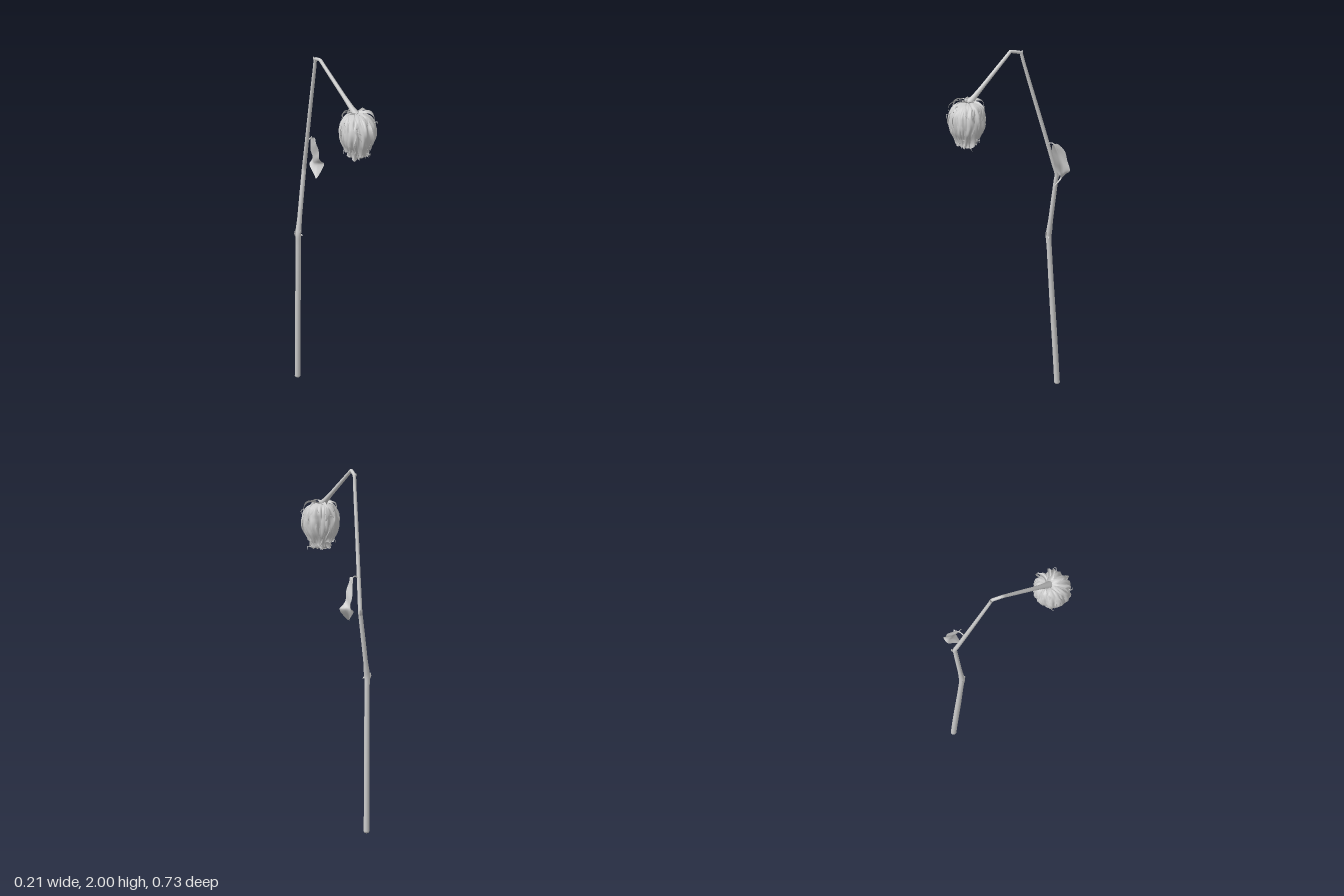
import * as THREE from 'three';

const V = (x, y, z) => new THREE.Vector3(x, y, z);
const mat = new THREE.MeshStandardMaterial({ color: 0xcccccc, side: THREE.DoubleSide });

// seeded noise so every petal differs
let seed = 7;
const rnd = (a = 0, b = 1) => {
  seed = (seed * 16807) % 2147483647;
  return a + (b - a) * (seed / 2147483647);
};

function add(group, name, geometry) {
  const mesh = new THREE.Mesh(geometry, mat);
  mesh.name = name;
  group.add(mesh);
  return mesh;
}

// smooth sheet from a rule (u, v in 0..1) -> point
function sheet(rule, nu, nv) {
  const g = new THREE.PlaneGeometry(1, 1, nu, nv);
  const p = g.attributes.position;
  for (let j = 0, k = 0; j <= nv; j++)
    for (let i = 0; i <= nu; i++, k++) {
      const q = rule(i / nu, j / nv);
      p.setXYZ(k, q.x, q.y, q.z);
    }
  g.computeVertexNormals();
  return g;
}

// linear lookup in [position, value] pairs
function ramp(table, t) {
  for (let i = 1; i < table.length; i++) {
    const [a, va] = table[i - 1], [b, vb] = table[i];
    if (t <= b) return va + (vb - va) * Math.max(0, (t - a) / (b - a));
  }
  return table[table.length - 1][1];
}

// tube whose radius follows a ramp along its length
function taperedTube(points, radii, segments, sides, ridge = 0) {
  const curve = new THREE.CatmullRomCurve3(points, false, 'centripetal');
  const g = new THREE.TubeGeometry(curve, segments, 1, sides);
  const p = g.attributes.position, v = V();
  for (let i = 0, k = 0; i <= segments; i++) {
    const c = curve.getPointAt(i / segments);
    const r = ramp(radii, i / segments);
    for (let j = 0; j <= sides; j++, k++) {
      const bump = 1 + ridge * Math.sin((j % sides) * 2.4 + i * 0.13);
      v.fromBufferAttribute(p, k).sub(c).multiplyScalar(r * bump).add(c);
      p.setXYZ(k, v.x, v.y, v.z);
    }
  }
  return g;
}

function makeStem() {
  const group = new THREE.Group();
  group.name = 'stem';
  const knots = [V(-0.05, 0.012, -0.34), V(-0.07, 0.87, -0.297), V(-0.02, 1.24, -0.322),
    V(-0.062, 1.975, -0.118), V(-0.067, 1.99, -0.058), V(-0.006, 1.755, 0.236)];
  // extra points beside each knot keep the bends tight
  const path = [knots[0]];
  for (let i = 1; i < knots.length; i++) {
    const a = knots[i - 1], b = knots[i];
    path.push(a.clone().lerp(b, 0.08), a.clone().lerp(b, 0.5), a.clone().lerp(b, 0.92), b);
  }
  add(group, 'stalk', taperedTube(path, [[0, 0.016], [0.33, 0.0145], [0.36, 0.017], [0.39, 0.013],
    [0.51, 0.012], [0.8, 0.0095], [0.85, 0.0095], [0.95, 0.012], [0.98, 0.015], [1, 0.023]], 180, 12, 0.04));
  const foot = add(group, 'stalkFoot', new THREE.SphereGeometry(0.016, 12, 8));
  foot.position.set(-0.05, 0.012, -0.34);
  foot.scale.y = 0.75;

  // dried buds and stubs at the joints
  const stubs = [
    [[-0.07, 0.85, -0.297], [-0.085, 0.87, -0.3], [-0.088, 0.895, -0.302]],
    [[-0.07, 0.86, -0.297], [-0.055, 0.865, -0.29], [-0.047, 0.86, -0.286]],
    [[-0.068, 0.86, -0.297], [-0.066, 0.885, -0.283], [-0.064, 0.9, -0.278]],
    [[-0.022, 1.22, -0.322], [-0.016, 1.24, -0.336], [-0.012, 1.255, -0.341]],
    [[-0.062, 1.965, -0.12], [-0.066, 1.975, -0.128], [-0.068, 1.984, -0.132]],
  ];
  for (const s of stubs)
    add(group, 'stub', taperedTube(s.map(q => V(...q)), [[0, 0.009], [0.7, 0.006], [1, 0.0005]], 8, 7));
  return group;
}

function makeLeaf() {
  const group = new THREE.Group();
  group.name = 'leaf';
  add(group, 'leafStalk', taperedTube([V(-0.034, 1.405, -0.276), V(-0.018, 1.43, -0.272),
    V(0.003, 1.435, -0.284), V(0.015, 1.425, -0.292), V(0.022, 1.385, -0.307)],
  [[0, 0.006], [0.2, 0.004], [1, 0.002]], 24, 7));
  // back edge, midrib and front edge of the drooping, twisted blade
  const lines = [
    [[0.012, 1.432, -0.293], [0.02, 1.435, -0.302], [0.03, 1.395, -0.34], [0.044, 1.33, -0.356],
      [0.054, 1.275, -0.362], [0.03, 1.247, -0.345], [0.028, 1.19, -0.276]],
    [[0.012, 1.43, -0.29], [0.015, 1.42, -0.29], [0.022, 1.37, -0.31], [0.034, 1.32, -0.32],
      [0.04, 1.275, -0.322], [0.048, 1.25, -0.31], [0.03, 1.19, -0.274]],
    [[0.012, 1.432, -0.287], [0.02, 1.432, -0.272], [0.033, 1.385, -0.267], [0.046, 1.33, -0.27],
      [0.06, 1.285, -0.28], [0.094, 1.258, -0.291], [0.032, 1.192, -0.272]],
  ].map(l => new THREE.CatmullRomCurve3(l.map(q => V(...q)), false, 'centripetal'));
  add(group, 'leafBlade', sheet((u, v) => {
    const [a, m, b] = lines.map(l => l.getPoint(v));
    const q = u < 0.5 ? a.lerp(m, u * 2) : m.lerp(b, u * 2 - 1);
    q.x += 0.003 * Math.sin(v * 22 + u * 5) * Math.abs(u - 0.5) * 2;
    return q;
  }, 8, 36));
  return group;
}

// bloom outline from the stalk down to the flared mouth: [t, radius] and [t, height]
const outline = [[0, 0.012], [0.08, 0.045], [0.17, 0.072], [0.28, 0.09], [0.42, 0.098], [0.54, 0.096],
  [0.66, 0.086], [0.78, 0.067], [0.9, 0.05], [1, 0.052]];
const heights = [[0, 1.762], [0.08, 1.757], [0.17, 1.742], [0.42, 1.668], [1, 1.498]];
const smooth = (table, t) => (ramp(table, t - 0.03) + ramp(table, t) + ramp(table, t + 0.03)) / 3;
const around = (angle, r, y, t) =>
  V(-0.003 + r * Math.sin(angle), y, 0.254 - 0.018 * Math.max(0, 1 - t * 3) + r * Math.cos(angle));

function makePetal(angle, half, scale, reach) {
  const ph = rnd(0, 6), ph2 = rnd(0, 6), curl = rnd(0.004, 0.012), skew = rnd(-0.2, 0.2);
  return sheet((u, v) => {
    const s = u * 2 - 1;
    const t = v * (reach - 0.05 * Math.abs(Math.sin(s * 4 + ph)) * v);
    const grow = Math.sin(Math.min(1, v * 3) * Math.PI / 2);
    const width = half * (1 + 0.12 * Math.sin(v * 11 + ph2) * Math.sign(s));
    // crumpled folds, lapped sides and rolled edges
    let r = smooth(outline, t) * scale;
    r += grow * (0.0045 * Math.sin(s * 6 + v * 3 + ph) + 0.0025 * Math.sin(s * 11 - v * 9 + ph2));
    r += grow * (0.005 * s + curl * Math.pow(Math.abs(s), 6) * Math.sin(v * 7 + ph));
    r += 0.012 * Math.pow(v, 10) * Math.sin(s * 5 + ph2);
    return around(angle + s * width + skew * v, Math.max(r, 0.008), smooth(heights, t), t);
  }, 20, 30);
}

function makeBloom() {
  const group = new THREE.Group();
  group.name = 'bloom';
  // closed heart behind the petals
  const heart = [];
  for (let i = 0; i <= 20; i++) {
    const t = 0.94 * (1 - i / 20);
    heart.push(new THREE.Vector2(smooth(outline, t) * 0.84, smooth(heights, t) - 0.004));
  }
  heart.unshift(new THREE.Vector2(0, 1.545));
  add(group, 'heart', new THREE.LatheGeometry(heart, 28)).position.set(-0.003, 0, 0.25);

  // rings of overlapping withered petals: count, half width, size, reach
  const rings = [[5, 0.85, 0.9, 1], [6, 0.68, 0.97, 0.98], [6, 0.52, 1.03, 0.9]];
  rings.forEach(([n, half, scale, reach], k) => {
    for (let i = 0; i < n; i++)
      add(group, 'petal', makePetal((i + k * 0.45) * 2 * Math.PI / n, half, scale, reach + rnd(-0.08, 0.02)));
  });

  // shrivelled sepals curling off the crown
  for (let i = 0; i < 9; i++) {
    const a = i * 2 * Math.PI / 9 + rnd(-0.2, 0.2), far = rnd(0.085, 0.105), drop = rnd(0, 0.05);
    const spine = new THREE.CatmullRomCurve3([
      around(a, 0.015, 1.758, 0), around(a, 0.045, 1.768, 0.1), around(a + 0.1, 0.075, 1.762, 0.2),
      around(a + 0.2, far, 1.742, 0.3), around(a + 0.15, far + 0.004, 1.725 - drop, 0.35),
      around(a + 0.05, far - 0.01, 1.712 - drop, 0.35)]);
    const side = V(Math.cos(a), 0.3, -Math.sin(a));
    add(group, 'sepal', sheet((u, v) => {
      const w = 0.011 * (1 - 0.75 * v) * (1 + 0.3 * Math.sin(v * 14 + i));
      const q = spine.getPoint(v).addScaledVector(side, (u * 2 - 1) * w);
      q.y += 0.005 * Math.pow(u * 2 - 1, 2);
      return q;
    }, 4, 20));
  }

  // stray threads and torn petal tips
  for (let i = 0; i < 12; i++) {
    const a = i * 2.4, t = i < 6 ? 0.15 + 0.04 * i : 0.8 + 0.03 * (i - 6);
    const r = smooth(outline, t), y = smooth(heights, t), out = rnd(0.012, 0.022);
    add(group, 'thread', taperedTube([around(a, r * 0.95, y, t), around(a + 0.1, r + out, y + 0.004, t),
      around(a + 0.25, r + out, y - 0.014, t)], [[0, 0.003], [1, 0.0012]], 10, 5));
  }
  return group;
}

export function createModel() {
  seed = 7;
  const model = new THREE.Group();
  model.name = 'witheredFlower';
  model.add(makeStem(), makeLeaf(), makeBloom());
  return model;
}
